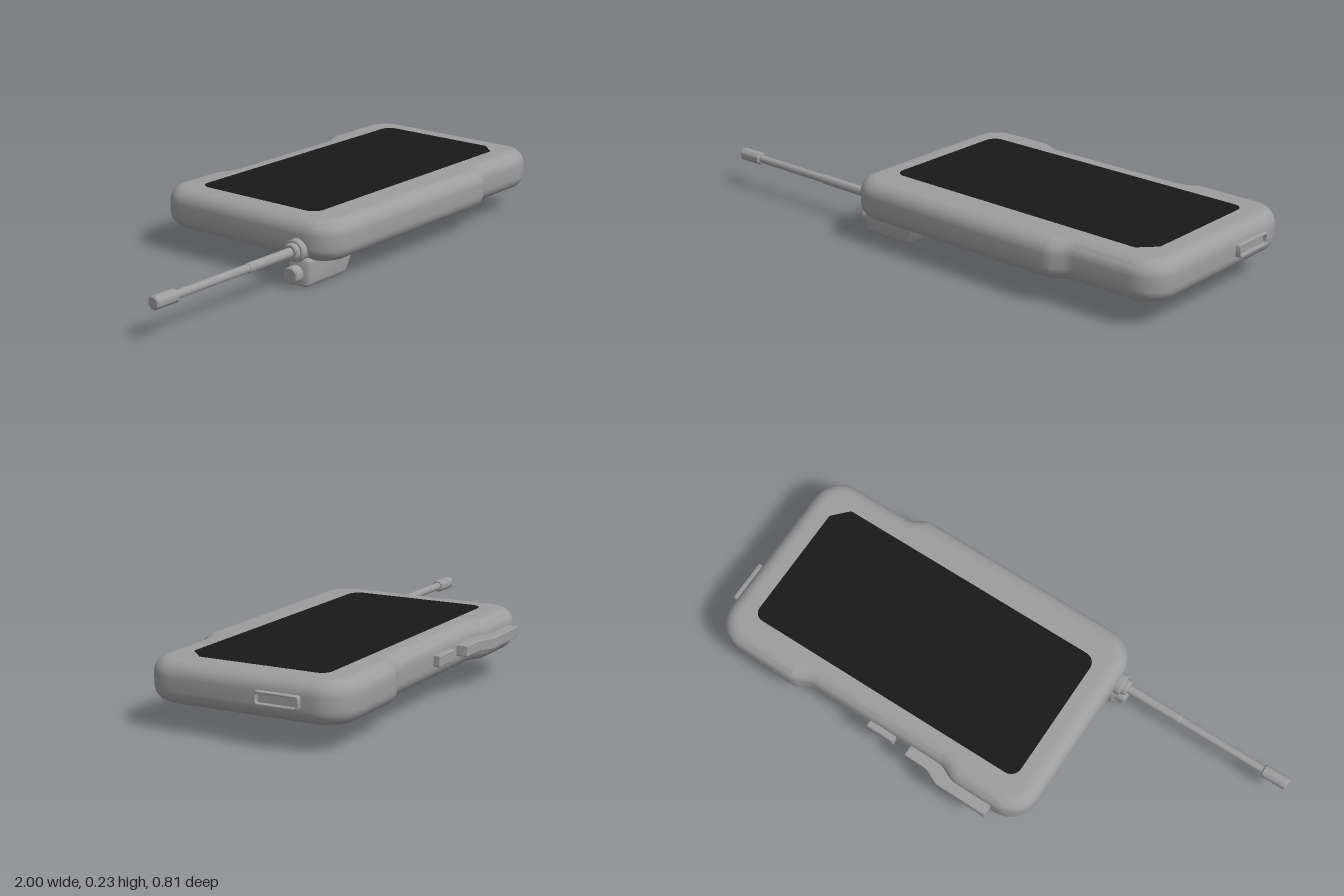
import * as THREE from 'three';
import { toCreasedNormals } from 'three/addons/utils/BufferGeometryUtils.js';

const grey = new THREE.MeshStandardMaterial({ color: 0x9d9d9d });
const dark = new THREE.MeshStandardMaterial({ color: 0x191919 });

// Closed outline from [x, y, trim] corners; trim is how far each corner is rounded back.
function outline(corners, Type = THREE.Shape) {
  const s = new Type();
  const n = corners.length;
  corners.forEach(([x, y, r], i) => {
    const c = new THREE.Vector2(x, y);
    const toward = (j, d) => {
      const q = corners[(j + n) % n];
      return new THREE.Vector2(q[0], q[1]).sub(c).setLength(d).add(c);
    };
    const a = toward(i - 1, r), b = toward(i + 1, r);
    if (i === 0) s.moveTo(a.x, a.y); else s.lineTo(a.x, a.y);
    if (r > 0) {
      const h1 = a.clone().lerp(c, 0.55), h2 = b.clone().lerp(c, 0.55);
      s.bezierCurveTo(h1.x, h1.y, h2.x, h2.y, b.x, b.y);
    }
  });
  s.closePath();
  return s;
}

const rect = (x0, x1, y0, y1, r) => [[x0, y0, r], [x1, y0, r], [x1, y1, r], [x0, y1, r]];

// Bevelled extrusion occupying z = 0..depth, staying inside the outline.
function extrude(shape, depth, bevel = 0, segments = 3, thick = bevel) {
  const g = new THREE.ExtrudeGeometry(shape, {
    depth: depth - 2 * thick, curveSegments: 8, bevelEnabled: bevel > 0,
    bevelSize: bevel, bevelThickness: thick, bevelOffset: -bevel, bevelSegments: segments,
  });
  return toCreasedNormals(g.translate(0, 0, thick), 0.6);
}

// Plan outline given as [x, z, trim], raised from y0 to y1.
function slab(corners, y0, y1, bevel, segments, thick) {
  const shape = outline(corners.map(([x, z, r]) => [x, -z, r]));
  return extrude(shape, y1 - y0, bevel, segments, thick).rotateX(-Math.PI / 2).translate(0, y0, 0);
}

export function createModel() {
  const model = new THREE.Group();
  const add = (name, geometry, material = grey) => {
    const m = new THREE.Mesh(geometry, material);
    m.name = name;
    model.add(m);
    return m;
  };

  // Casing with rounded rim and stepped long sides
  add('casing', slab([
    [-0.314, 0.404, 0.11], [0.58, 0.404, 0.018], [0.64, 0.367, 0.018], [0.982, 0.367, 0.11],
    [0.982, -0.367, 0.11], [0.64, -0.367, 0.018], [0.585, -0.337, 0.018],
    [0.03, -0.337, 0.018], [-0.03, -0.367, 0.018], [-0.314, -0.367, 0.11],
  ], 0.084, 0.229, 0.054, 8, 0.052));

  // Screen with one clipped corner
  add('screen', slab([
    [-0.215, 0.268, 0.04], [0.825, 0.268, 0.005], [0.88, 0.21, 0.005],
    [0.88, -0.253, 0.035], [-0.215, -0.253, 0.04],
  ], 0.22, 0.2298, 0), dark);

  // Raised plate on the underside
  add('backPlate', slab(rect(-0.14, 0.76, -0.237, 0.205, 0.06), 0.059, 0.12, 0.042, 3, 0.027));

  // Foot bracket below the antenna
  add('bracket', extrude(outline([
    [-0.32, 0, 0.012], [-0.11, 0, 0.015], [-0.05, 0.1, 0.01], [-0.32, 0.1, 0.01],
  ]), 0.088, 0.018, 3).translate(0, 0, 0.232));

  // Side buttons: a stepped rocker and a small key
  add('rockerButton', slab([
    [-0.19, -0.405, 0.004], [0.01, -0.405, 0.01], [0.07, -0.377, 0.01],
    [0.16, -0.377, 0.004], [0.16, -0.32, 0], [-0.19, -0.32, 0],
  ], 0.138, 0.178, 0.003, 1));
  add('smallButton', slab(rect(0.22, 0.33, -0.36, -0.32, 0.004), 0.138, 0.178, 0.003, 1));

  // Port frame on the end, with a recessed floor
  const frame = outline(rect(0.062, 0.222, 0.136, 0.181, 0.009));
  frame.holes.push(outline(rect(0.071, 0.214, 0.143, 0.174, 0.006), THREE.Path));
  add('portFrame', extrude(frame, 0.04, 0.003, 2).rotateY(Math.PI / 2).translate(0.96, 0, 0));
  const floor = add('portFloor', new THREE.BoxGeometry(0.02, 0.034, 0.148));
  floor.position.set(0.976, 0.1585, -0.1425);

  // Antenna, its collars and the knob: [name, x0, x1, radius, y]
  const rods = [
    ['antennaTip', -1, -0.902, 0.023, 0.125],
    ['antennaThinRod', -0.91, -0.56, 0.0145, 0.125],
    ['antennaThickRod', -0.57, -0.34, 0.017, 0.125],
    ['antennaCollar', -0.355, -0.33, 0.03, 0.125],
    ['antennaFlange', -0.336, -0.27, 0.04, 0.125],
    ['bracketKnob', -0.355, -0.3, 0.03, 0.044],
  ];
  for (const [name, x0, x1, r, y] of rods) {
    const h = (x1 - x0) / 2, c = 0.005;
    const profile = [[0, -h], [r - c, -h], [r, -h + c], [r, h - c], [r - c, h], [0, h]]
      .map(([a, b]) => new THREE.Vector2(a, b));
    const g = toCreasedNormals(new THREE.LatheGeometry(profile, 20), 0.6).rotateZ(-Math.PI / 2);
    add(name, g).position.set((x0 + x1) / 2, y, 0.273);
  }

  return model;
}
